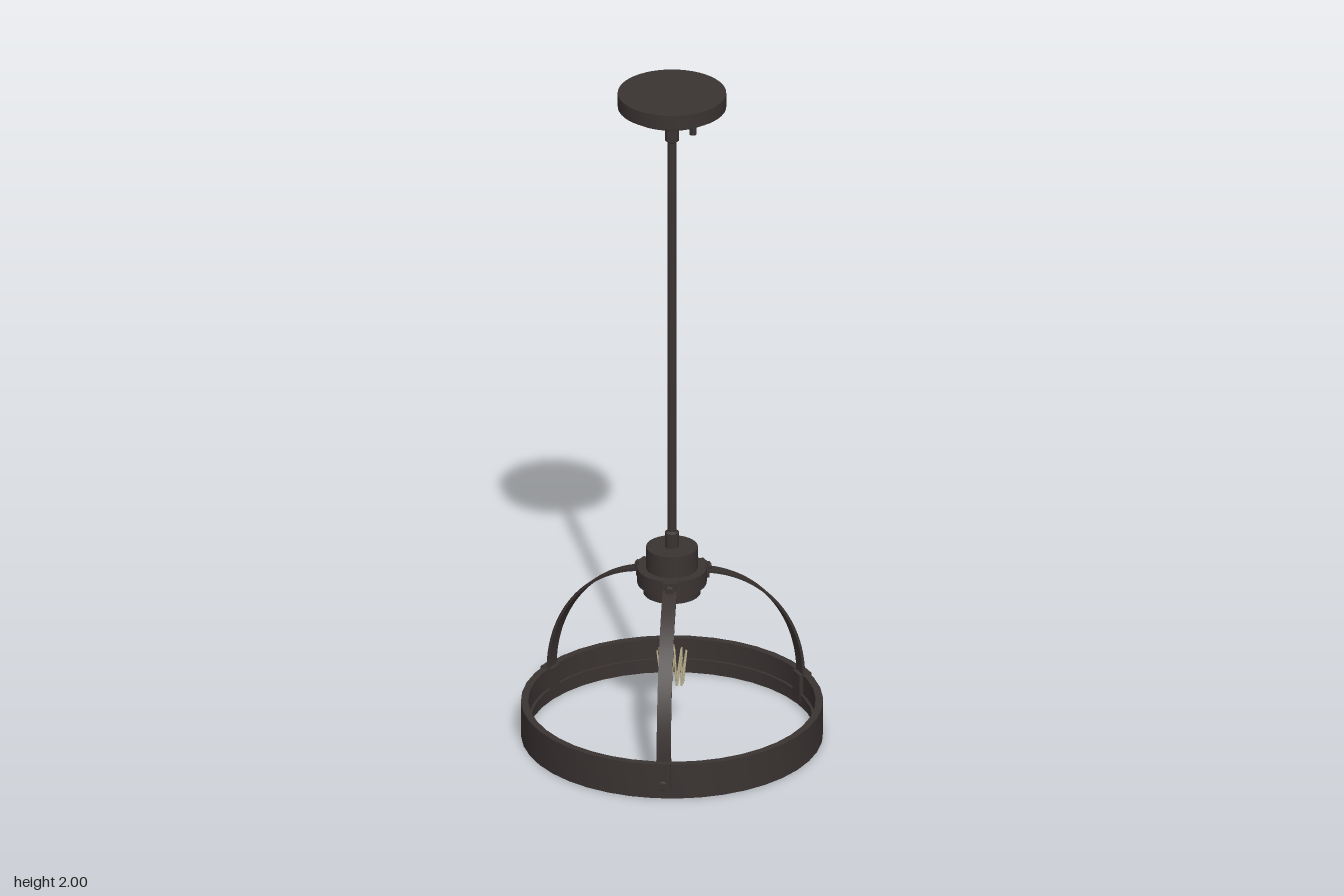
import * as THREE from 'three';
import { toCreasedNormals } from 'three/addons/utils/BufferGeometryUtils.js';

const bronze = new THREE.MeshStandardMaterial({ color: 0x3a3332 });
bronze.name = 'dark bronze';
const brass = new THREE.MeshStandardMaterial({ color: 0xb8a27a });
brass.name = 'socket brass';
const wire = new THREE.MeshStandardMaterial({ color: 0xc4b995 });
wire.name = 'filament wire';

function add(parent, name, geometry, material, x = 0, y = 0, z = 0) {
  const mesh = new THREE.Mesh(geometry, material);
  mesh.name = name;
  mesh.position.set(x, y, z);
  parent.add(mesh);
  return mesh;
}

// Turned part from [radius, height] pairs, listed upwards along the outside
function turned(parent, name, profile, material, sides = 32) {
  const points = profile.map(([r, y]) => new THREE.Vector2(r, y));
  const geometry = new THREE.LatheGeometry(points, sides);
  return add(parent, name, toCreasedNormals(geometry, 0.6), material);
}

// Round-headed thumb screw pointing outwards along x
function thumbScrew(parent, name, r, y, length, head) {
  const profile = [
    [head * 0.55, 0], [head * 0.55, length - 0.01], [head, length - 0.008],
    [head, length - 0.002], [head * 0.7, length], [0, length],
  ];
  const screw = turned(parent, name, profile, bronze, 16);
  screw.position.set(r, y, 0);
  screw.rotation.z = -Math.PI / 2;
}

// Curved strap with its clip on the ring and its screws
function makeArm(angle) {
  const arm = new THREE.Group();
  arm.name = 'arm';
  const base = 0.1, outer = 0.41, inner = 0.402, end = 1.325;
  const shape = new THREE.Shape();
  shape.moveTo(outer, 0.04);
  shape.lineTo(outer, base);
  shape.absarc(0, base, outer, 0, end, false);
  shape.absarc(0, base, inner, end, 0, true);
  shape.lineTo(inner, 0.04);
  shape.closePath();
  const strap = new THREE.ExtrudeGeometry(shape, { depth: 0.04, bevelEnabled: false, curveSegments: 24 });
  strap.translate(0, 0, -0.02);
  add(arm, 'strap', toCreasedNormals(strap, 0.5), bronze);
  add(arm, 'ringClip', new THREE.BoxGeometry(0.038, 0.082, 0.042), bronze, 0.41, 0.067);
  add(arm, 'hubTab', new THREE.BoxGeometry(0.014, 0.045, 0.04), bronze, 0.101, 0.496);
  thumbScrew(arm, 'ringScrew', 0.427, 0.048, 0.024, 0.014);
  thumbScrew(arm, 'hubScrew', 0.105, 0.5, 0.016, 0.013);
  arm.rotation.y = -THREE.MathUtils.degToRad(angle);
  return arm;
}

export function createModel() {
  const model = new THREE.Group();
  model.name = 'pendantLamp';
  const lamp = new THREE.Group();
  lamp.name = 'lamp';
  lamp.position.set(0.001, 0, -0.009);
  model.add(lamp);

  // Ceiling canopy and its two screws
  turned(lamp, 'canopy', [[0, 1.942], [0.128, 1.942], [0.132, 1.957], [0.153, 1.957], [0.153, 2], [0, 2]], bronze, 48);
  for (const s of [-1, 1]) {
    add(lamp, 'canopyScrew', new THREE.CylinderGeometry(0.01, 0.01, 0.022, 12), bronze, s * 0.086, 1.932, s * 0.086);
  }

  // Stem with a collar at each end
  turned(lamp, 'stem', [[0.013, 0.6], [0.013, 1.87]], bronze, 20);
  turned(lamp, 'upperCollar', [[0, 1.83], [0.013, 1.83], [0.013, 1.848], [0.02, 1.853], [0.02, 1.925], [0.014, 1.932], [0.014, 1.945]], bronze, 20);
  turned(lamp, 'lowerCollar', [[0.02, 0.58], [0.02, 0.63], [0.013, 0.635]], bronze, 20);

  // Stepped hub, hollow underneath for the socket
  turned(lamp, 'hub', [
    [0.052, 0.47], [0.052, 0.434], [0.062, 0.434], [0.062, 0.443], [0.081, 0.443], [0.081, 0.474],
    [0.098, 0.474], [0.098, 0.52], [0.073, 0.52], [0.073, 0.585], [0, 0.585],
  ], bronze, 40);
  turned(lamp, 'socket', [[0, 0.438], [0.045, 0.438], [0.052, 0.442]], brass, 24);

  // Bottom ring with a ledge inside
  turned(lamp, 'ring', [
    [0.405, 0], [0.426, 0], [0.426, 0.105], [0.405, 0.105], [0.405, 0.045],
    [0.397, 0.045], [0.397, 0.03], [0.405, 0.03], [0.405, 0],
  ], bronze, 40);

  for (const angle of [77.3, -42.7, 197.3]) lamp.add(makeArm(angle));

  // Zigzag cage filament on a short support
  const bulb = new THREE.Group();
  bulb.name = 'filament';
  lamp.add(bulb);
  const path = new THREE.CurvePath();
  const count = 22;
  const corner = (i) => {
    const a = (i / count) * Math.PI * 2;
    const r = i % 2 ? 0.031 : 0.043;
    return new THREE.Vector3(Math.cos(a) * r, i % 2 ? 0.152 : 0.266, Math.sin(a) * r);
  };
  for (let i = 0; i < count; i++) path.add(new THREE.LineCurve3(corner(i), corner(i + 1)));
  add(bulb, 'cageWire', new THREE.TubeGeometry(path, count * 6, 0.0024, 6, false), wire);
  add(bulb, 'supportWire', new THREE.CylinderGeometry(0.001, 0.001, 0.16, 5), wire, 0, 0.36);

  return model;
}
